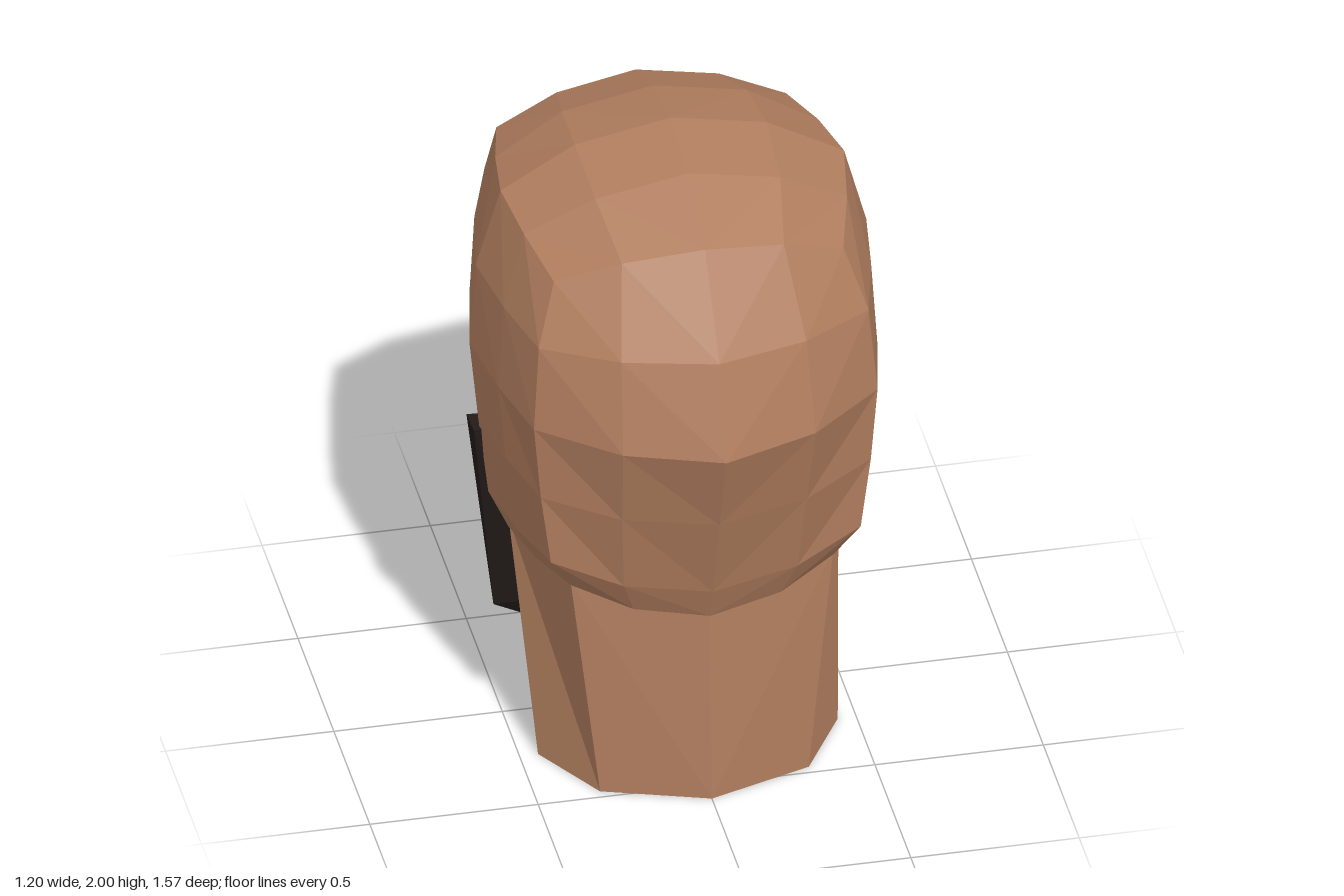
import * as THREE from 'three';

const paint = (color) => new THREE.MeshStandardMaterial({ color, flatShading: true, side: THREE.DoubleSide });
const lerp = THREE.MathUtils.lerp;

// Continue a half line of points (ending at x = 0) onto the other side;
// a half that also starts at x = 0 becomes a closed ring.
const mirror = (half) => [...half, ...half.slice(0, -1).reverse().map(([x, y, z]) => [-x, y, z])];

// Skin rows of points with quads; rows run bottom to top, points turn from +z over +x to -z.
// The quads are split along mirrored diagonals on the two sides.
function loft(rows) {
  const pos = [];
  for (let j = 0; j < rows.length - 1; j++) {
    for (let i = 0; i < rows[j].length - 1; i++) {
      const a = rows[j][i], b = rows[j][i + 1], c = rows[j + 1][i + 1], d = rows[j + 1][i];
      if (a[0] + b[0] + c[0] + d[0] > 0) pos.push(...a, ...b, ...c, ...a, ...c, ...d);
      else pos.push(...a, ...b, ...d, ...b, ...c, ...d);
    }
  }
  const g = new THREE.BufferGeometry();
  g.setAttribute('position', new THREE.Float32BufferAttribute(pos, 3));
  g.computeVertexNormals();
  return g;
}

// Half loop of the skull: back centre, back edge, side, face edge, face centre.
function headLevel([backY, backZ], [ex, ey, ez], [sx, sy], [fx, fy, fz], [frontY, frontZ]) {
  const mid = (x, y, z, cy, cz) => [x * 0.56, lerp(cy, y, 0.32), lerp(cz, z, 0.35)];
  return [
    [0, backY, backZ], mid(ex, ey, ez, backY, backZ), [ex, ey, ez],
    [lerp(ex, sx, 0.62), lerp(ey, sy, 0.6), lerp(ez, fz, 0.23)],
    [sx, sy, lerp(ez, fz, 0.46)],
    [lerp(fx, sx, 0.62), lerp(fy, sy, 0.6), lerp(ez, fz, 0.73)],
    [fx, fy, fz], mid(fx, fy, fz, frontY, frontZ), [0, frontY, frontZ],
  ];
}

export function createModel() {
  const group = new THREE.Group();
  const skin = paint(0xb07d5e), hair = paint(0x231b19);
  const add = (name, geometry, material) => {
    const mesh = new THREE.Mesh(geometry, material);
    mesh.name = name;
    group.add(mesh);
    return mesh;
  };

  // Head: levels at the jaw, cheek, eye hollow, brow, forehead and crown rim
  const levels = [
    headLevel([0.62, 0.55], [0.39, 0.71, 0.44], [0.49, 0.67], [0.3, 0.36, -0.42], [0.36, -0.58]),
    headLevel([0.73, 0.59], [0.46, 0.83, 0.49], [0.55, 0.8], [0.42, 0.76, -0.49], [0.76, -0.61]),
    headLevel([1.02, 0.68], [0.49, 1.06, 0.49], [0.58, 1.06], [0.46, 1.11, -0.49], [1.11, -0.63]),
    headLevel([1.3, 0.78], [0.51, 1.3, 0.49], [0.595, 1.29], [0.43, 1.23, -0.6], [1.2, -0.76]),
    headLevel([1.58, 0.68], [0.49, 1.56, 0.46], [0.58, 1.57], [0.44, 1.54, -0.53], [1.58, -0.68]),
    headLevel([1.85, 0.48], [0.43, 1.74, 0.39], [0.51, 1.83], [0.43, 1.76, -0.41], [1.85, -0.49]),
  ];
  const jawCentre = levels[0].map(() => [0, 0.5, -0.1]);
  add('head', loft([jawCentre, ...levels].map(mirror)), skin);

  // Crown: grid of five rows from back to front inside the rim
  const rim = levels[5];
  const flip = ([x, y, z]) => [-x, y, z];
  const crossRow = (edge, mid, centre) => [flip(edge), flip(mid), centre, mid, edge];
  add('crown', loft([
    crossRow(rim[2], rim[1], rim[0]),
    crossRow(rim[3], [0.275, 1.91, 0.24], [0, 1.96, 0.24]),
    crossRow(rim[4], [0.285, 1.945, 0], [0, 2, 0]),
    crossRow(rim[5], [0.275, 1.91, -0.23], [0, 1.95, -0.25]),
    crossRow(rim[6], rim[7], rim[8]),
  ]), skin);

  // Neck, closed underneath
  const neckBase = [[0, 0, 0.575], [0.31, 0, 0.47], [0.445, 0, 0.24], [0.4, 0, -0.02], [0, 0, -0.11]];
  const neckTop = [[0, 0.64, 0.54], [0.39, 0.72, 0.435], [0.49, 0.7, 0.04], [0.43, 0.5, -0.01], [0, 0.6, -0.12]];
  add('neck', loft([neckBase.map(() => [0, 0, 0.23]), neckBase, neckTop].map(mirror)), skin);

  // Nose: base, wings with tip, and bridge
  const noseRow = (y, wingX, wingZ, ridgeX, ridgeZ) =>
    [[wingX, y, wingZ], [ridgeX, y, ridgeZ], [-ridgeX, y, ridgeZ], [-wingX, y, wingZ]];
  add('nose', loft([
    noseRow(0.655, 0.06, -0.57, 0.03, -0.65),
    noseRow(0.74, 0.115, -0.6, 0.045, -0.785),
    noseRow(1.11, 0.075, -0.59, 0.03, -0.65),
  ]), skin);

  // Beard: strip from ear to ear with a thick rim and a flat underside
  const upper = [[0.5, 1.03, 0.04], [0.597, 1.03, 0.06], [0.6, 1.03, -0.03], [0.535, 0.77, -0.25],
    [0.39, 0.58, -0.49], [0.26, 0.42, -0.585], [0, 0.37, -0.645]];
  const lower = [[0.38, 0.33, -0.07], [0.505, 0.31, -0.1], [0.49, 0.3, -0.15], [0.44, 0.25, -0.34],
    [0.37, 0.19, -0.59], [0.2, 0.15, -0.67], [0, 0.1, -0.755]];
  const under = [[0.3, 0.17, -0.17], [0.3, 0.17, -0.17], [0.3, 0.165, -0.2], [0.28, 0.15, -0.3],
    [0.2, 0.12, -0.46], [0.1, 0.12, -0.46], [0, 0.12, -0.46]];
  const underBack = under.map(([x]) => [x, 0.17, -0.17]);
  const upperIn = upper.map(([x, y, z]) => [x * 0.87, y, z * 0.87]);
  add('beard', loft([underBack, under, lower, upper, upperIn].map(mirror)), hair);

  // Moustache: arch over the mouth that drops into the beard
  const archInner = [[0.19, 0.4, -0.59], [0.16, 0.51, -0.62], [0, 0.535, -0.65]];
  const archOuter = [[0.31, 0.42, -0.56], [0.23, 0.58, -0.575], [0, 0.61, -0.655]];
  const sink = (line) => line.map(([x, y, z]) => [x, y, z + 0.13]);
  add('moustache', loft([sink(archInner), archInner, archOuter, sink(archOuter)].map(mirror)), hair);

  // Eyebrows on the brow ridge
  for (const side of [1, -1]) {
    const brow = add(side > 0 ? 'leftEyebrow' : 'rightEyebrow', new THREE.BoxGeometry(0.31, 0.042, 0.05), hair);
    brow.position.set(side * 0.285, 1.24, -0.645);
    brow.rotation.set(0, -side * 0.46, side * 0.11);
  }
  return group;
}
